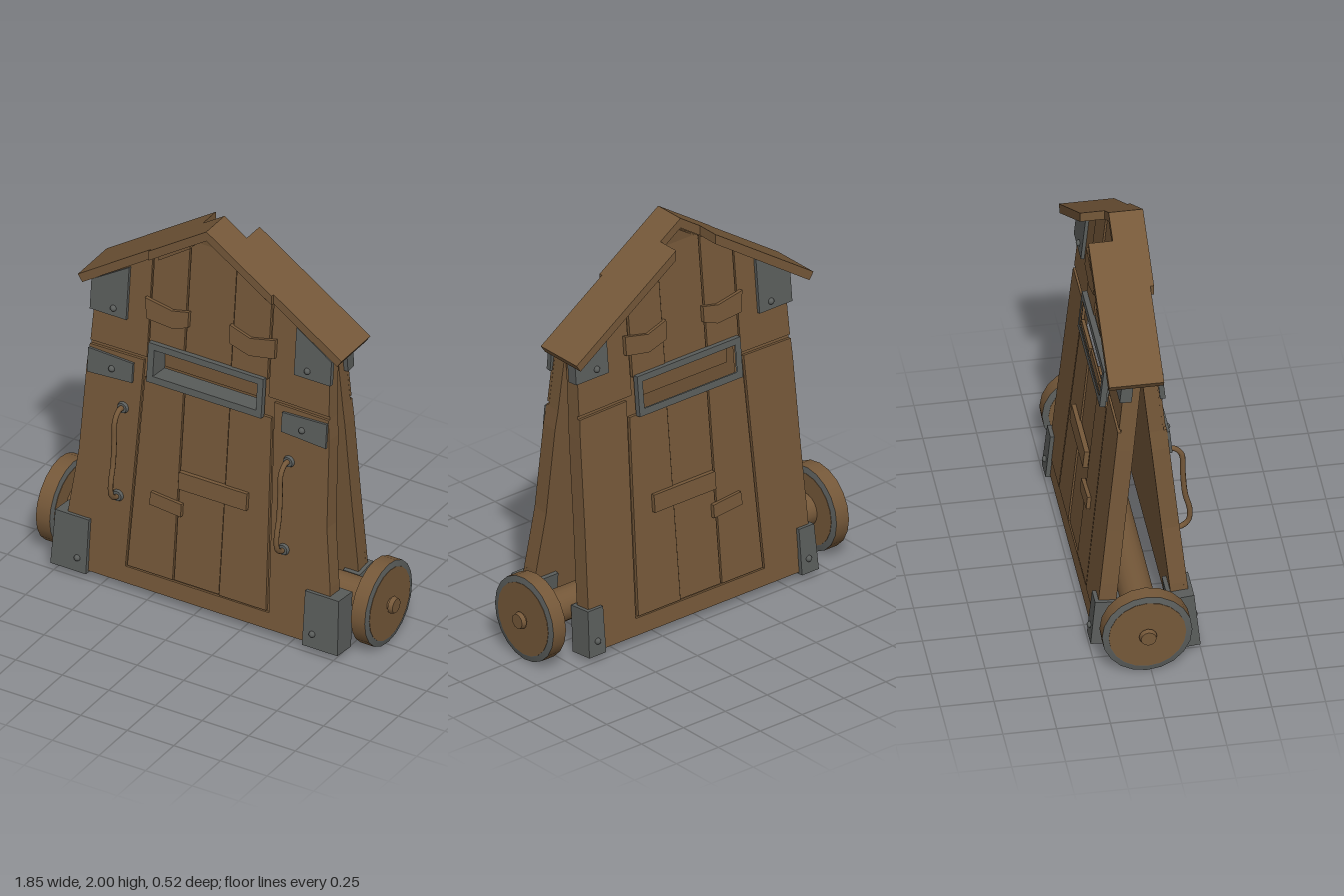
import * as THREE from 'three';

const wood = new THREE.MeshStandardMaterial({ color: 0x755839 });
wood.name = 'brown wood';
const metal = new THREE.MeshStandardMaterial({ color: 0x5a5d5b });
metal.name = 'grey iron';

function add(parent, name, geometry, material, x = 0, y = 0, z = 0) {
  const mesh = new THREE.Mesh(geometry, material);
  mesh.name = name;
  mesh.position.set(x, y, z);
  parent.add(mesh);
  return mesh;
}

// Flat board: outline in x/y, extruded from z0 to z1, with optional hole
function board(parent, name, pts, z0, z1, material = wood, hole = null) {
  const shape = new THREE.Shape(pts.map(p => new THREE.Vector2(p[0], p[1])));
  if (hole) shape.holes.push(new THREE.Path(hole.map(p => new THREE.Vector2(p[0], p[1]))));
  const geo = new THREE.ExtrudeGeometry(shape, { depth: z1 - z0, bevelEnabled: false });
  return add(parent, name, geo, material, 0, 0, z0);
}

const rect = (x0, x1, y0, y1) => [[x0, y0], [x1, y0], [x1, y1], [x0, y1]];
const roofTop = x => 2 - 0.67 * Math.abs(x + 0.02);
const under = x => roofTop(x) - 0.045;

// One leaning wall; m = -1 swaps x so the rear wall lines up with the front
function wall(isFront) {
  const m = isFront ? 1 : -1;
  const g = new THREE.Group();
  g.name = isFront ? 'frontWall' : 'rearWall';
  const flip = pts => pts.map(([x, y]) => [x * m, y]);
  const put = (name, pts, z0, z1, mat, hole) =>
    board(g, name, flip(pts), z0, z1, mat, hole && flip(hole));
  const rivet = (x, y, z) =>
    add(g, 'rivet', new THREE.SphereGeometry(0.016, 10, 8), metal, x * m, y, z);

  // Solid core with the slot cut out
  const edge = isFront
    ? [[0.72, 0.04], [0.7, 0.35], [0.665, 0.65], [0.65, 1.1], [0.64, 1.2], [0.625, 1.5]]
    : [[0.66, 0.04], [0.655, 0.35], [0.645, 0.65], [0.635, 1.1], [0.63, 1.2], [0.62, 1.5]];
  const left = edge.map(([x, y]) => [-x, y]).reverse();
  const slot = rect(-0.3, 0.28, 1.13, 1.3);
  put('wallCore', [...edge, [0.625, under(0.625)], [-0.02, under(-0.02)],
    [-0.625, under(-0.625)], ...left], -0.08, -0.012, wood, slot);

  // Side boards, split across just above the middle
  for (const s of [-1, 1]) {
    const low = edge.slice(0, 5).map(([x, y]) => [s * x, y]);
    put('lowerSideBoard', [[s * 0.385, 0.125], ...low.map((p, i) => i ? p : [p[0], 0.125]),
      [s * 0.35, 1.205]], -0.015, 0.003);
    const xi = s < 0 ? -0.338 : 0.315, xo = s * edge[5][0];
    put('upperSideBoard', [[xi, 1.222], [s * edge[4][0], 1.218], [xo, under(xo)], [xi, under(xi)]],
      -0.015, -0.001);
  }
  put('bottomRail', [[-edge[0][0], 0.04], [edge[0][0], 0.04], [edge[0][0], 0.125],
    [-edge[0][0], 0.125]], -0.015, 0.001);

  // Centre planks below and above the slot
  const lowX = [[-0.378, -0.343], [-0.13, -0.13], [0.115, 0.115], [0.372, 0.342]];
  const topX = [-0.33, -0.14, 0.11, 0.308];
  for (let i = 0; i < 3; i++) {
    const [a, b] = [lowX[i], lowX[i + 1]], z = [0.002, -0.003, 0.004][i];
    put('lowerPlank', [[a[0] + 0.003, 0.133], [b[0] - 0.003, 0.133],
      [b[1] - 0.003, 1.12], [a[1] + 0.003, 1.12]], -0.015, z);
    const x0 = topX[i] + 0.003, x1 = topX[i + 1] - 0.003;
    const top = i === 1 ? [[x1, under(x1)], [-0.02, under(-0.02)], [x0, under(x0)]]
      : [[x1, under(x1)], [x0, under(x0)]];
    put('upperPlank', [[x0, 1.31], [x1, 1.31], ...top], -0.015, z);
  }

  // Slot frame with raised lip
  put('slotFrame', rect(-0.3, 0.28, 1.13, 1.3), -0.08, 0.02, metal, rect(-0.285, 0.268, 1.15, 1.285));
  put('slotLip', rect(-0.318, 0.298, 1.115, 1.317), 0, 0.028, metal, rect(-0.285, 0.268, 1.15, 1.285));

  // Nailed patches
  put('crossPatch', rect(-0.12, 0.245, 0.617, 0.705), 0, 0.024);
  put('smallPatch', [[-0.27, 0.49], [-0.1, 0.475], [-0.1, 0.54], [-0.265, 0.555]], 0, 0.02);
  put('upperPatch', [[-0.34, 1.43], [-0.2, 1.42], [-0.12, 1.45], [-0.12, 1.53], [-0.21, 1.51],
    [-0.355, 1.535]], 0, 0.02);
  put('upperPatch', [[0.105, 1.44], [0.21, 1.41], [0.345, 1.435], [0.345, 1.53], [0.21, 1.5],
    [0.1, 1.535]], 0, 0.02);

  for (const s of [-1, 1]) {
    // Iron corners under the roof
    const o = s * 0.645, i = s * 0.45;
    put('roofCorner', [[i, 1.385], [o, 1.385], [o, under(o)], [i, under(i) - 0.01]],
      isFront ? -0.01 : -0.04, 0.015, metal);
    rivet(s * 0.52, 1.425, 0.015);

    // Iron feet wrapped around the bottom corners
    const [fi, fo, fy] = isFront ? [0.58, 0.77, 0.31] : [0.585, 0.685, 0.26];
    put('cornerFoot', [[s * fi, 0.03], [s * fo, 0.03], [s * (fo - 0.01), fy], [s * fi, fy]],
      -0.1, 0.022, metal);
    rivet(s * 0.63, 0.1, 0.022);

    if (!isFront) continue;
    // Strap plates
    put('strapPlate', [[s * 0.4, 1.075], [s * 0.64, 1.06], [s * 0.64, 1.185], [s * 0.4, 1.175]],
      0, 0.016, metal);
    rivet(s * 0.51, 1.115, 0.016);

    // Bowed handles on round mounts
    const x = s * 0.445;
    const curve = new THREE.CatmullRomCurve3([[0.93, 0], [0.93, 0.04], [0.89, 0.072], [0.78, 0.068],
      [0.66, 0.066], [0.56, 0.078], [0.5, 0.065], [0.475, 0.03], [0.475, 0]]
      .map(([y, z]) => new THREE.Vector3(x, y, z)));
    add(g, 'handle', new THREE.TubeGeometry(curve, 40, 0.013, 8), wood);
    for (const y of [0.475, 0.93]) {
      const mount = new THREE.CylinderGeometry(0.024, 0.03, 0.016, 14).rotateX(Math.PI / 2);
      add(g, 'handleMount', mount, metal, x, y, 0.009);
    }
  }

  g.position.z = 0.23;
  g.rotation.x = -0.1;
  const holder = new THREE.Group();
  holder.name = isFront ? 'frontSide' : 'rearSide';
  holder.add(g);
  if (!isFront) holder.rotation.y = Math.PI;
  return holder;
}

// Sloping roof slab from xi (inner) to xo (outer); a true end is cut square
function roofSlab(parent, xi, xo, z0, z1, squareEnd) {
  const s = Math.sign(xo), t = 0.05;
  const end = squareEnd ? [xo - s * 0.024, roofTop(xo) - 0.036] : [xo, roofTop(xo) - t];
  board(parent, 'roofSlab', [[xi, roofTop(xi)], [xo, roofTop(xo)], end, [xi, roofTop(xi) - t]], z0, z1);
}

function wheel(s) {
  const g = new THREE.Group();
  g.name = s > 0 ? 'leftWheel' : 'rightWheel';
  const disc = (name, r0, r1, x0, x1, mat, n = 20, open = false) =>
    add(g, name, new THREE.CylinderGeometry(r1, r0, x1 - x0, n, 1, open).rotateZ(-Math.PI / 2),
      mat, (x0 + x1) / 2);
  disc('tread', 0.21, 0.21, 0.808, 0.882, wood);
  disc('outerRim', 0.21, 0.183, 0.882, 0.888, metal);
  disc('innerRim', 0.183, 0.21, 0.802, 0.808, metal);
  disc('outerFace', 0.18, 0.18, 0.885, 0.89, wood);
  disc('innerFace', 0.18, 0.18, 0.8, 0.805, wood);
  disc('axlePin', 0.028, 0.028, 0.89, 0.905, wood, 12);
  disc('axleCap', 0.042, 0.036, 0.903, 0.925, wood, 12);
  g.position.set(0, 0.212, -0.018);
  if (s < 0) g.rotation.y = Math.PI;
  return g;
}

export function createModel() {
  const model = new THREE.Group();
  model.name = 'wheeledShield';
  model.add(wall(true), wall(false));

  // Block closing the slot between the walls
  add(model, 'slotBlock', new THREE.BoxGeometry(0.6, 0.14, 0.07), wood, -0.01, 1.215, 0);

  // Roof, with the rear of the ridge broken away
  const roof = new THREE.Group();
  roof.name = 'roof';
  model.add(roof);
  for (const [s, notch, end] of [[-1, -0.135, -0.72], [1, 0.1, 0.695]]) {
    roofSlab(roof, -0.02, s * 0.33, -0.055, 0.105, false);
    roofSlab(roof, s * 0.33, end, -0.055, 0.088, true);
    roofSlab(roof, notch, end, -0.168, -0.055, true);
    // Thin batten tucked below the front edge
    const a = s * 0.12, b = s * 0.29;
    board(roof, 'roofBatten', [[a, under(a)], [b, under(b)], [b, under(b) - 0.03], [a, under(a) - 0.025]],
      0.03, 0.085);
  }

  // Axle and wheels
  add(model, 'axle', new THREE.CylinderGeometry(0.08, 0.08, 1.62, 18).rotateZ(Math.PI / 2),
    wood, 0, 0.212, -0.018);
  model.add(wheel(1), wheel(-1));
  return model;
}
